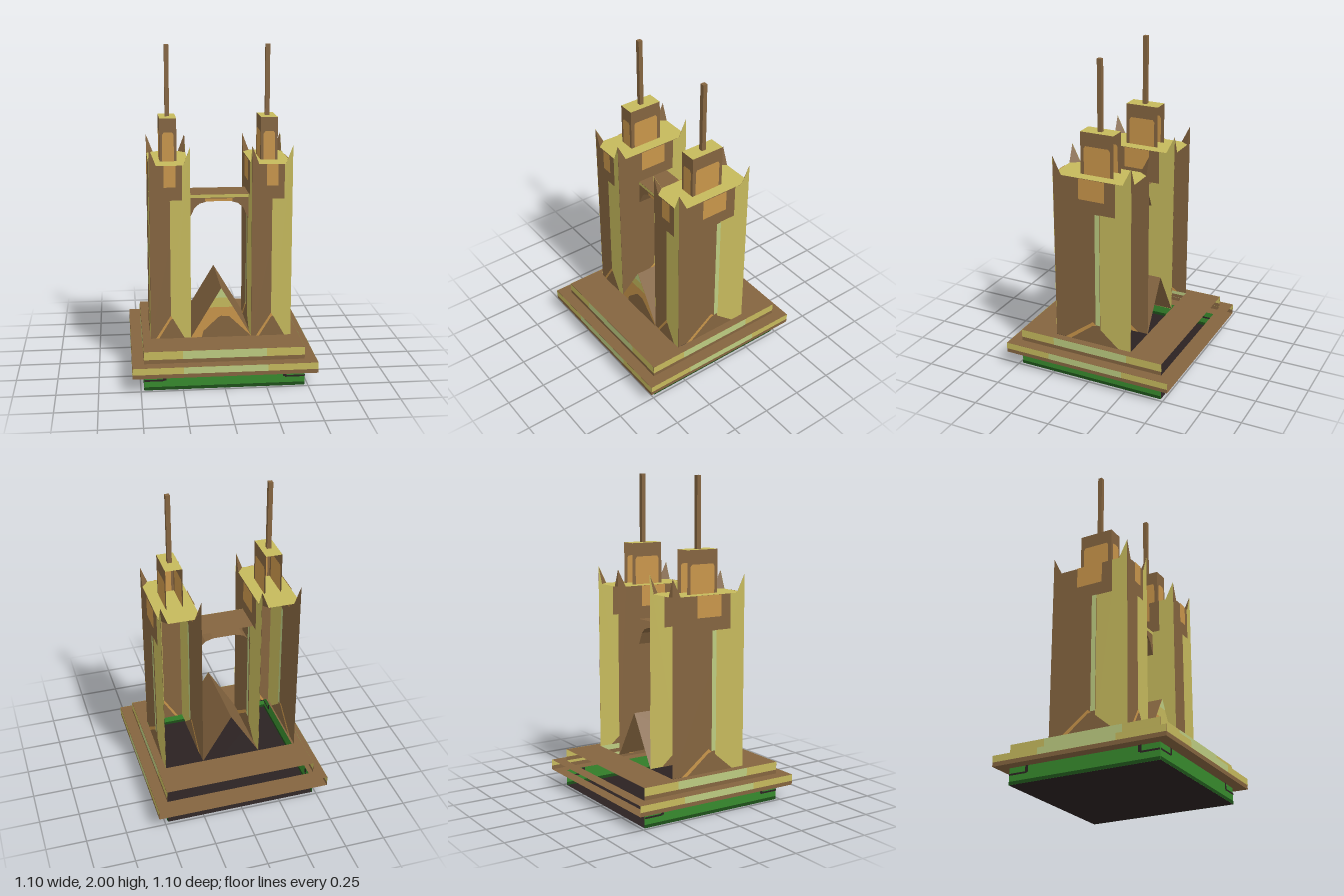
import * as THREE from 'three';

const mat = (name, color) => new THREE.MeshStandardMaterial({ name, color, side: THREE.DoubleSide });
const brown = mat('brown', 0x84643f), yellow = mat('yellow', 0xc5b95c), orange = mat('orange', 0xc8954a);
const paleGreen = mat('paleGreen', 0xbccb80), green = mat('green', 0x378a2d);
const darkGreen = mat('darkGreen', 0x1c4f18), black = mat('black', 0x2b2222);

const rect = (x0, y0, x1, y1) => [[x0, y0], [x1, y0], [x1, y1], [x0, y1]];
const shapeOf = (pts) => new THREE.Shape(pts.map(([x, y]) => new THREE.Vector2(x, y)));

function add(parent, name, geo, material) {
  const m = new THREE.Mesh(geo, material);
  m.name = name;
  parent.add(m);
  return m;
}

// Upright wall at distance d; layers after the first are painted on both of its sides
function wall(parent, name, angle, d, layers) {
  const g = new THREE.Group();
  g.name = name;
  g.rotation.y = angle;
  layers.forEach(([material, pts], i) => {
    const geo = new THREE.ShapeGeometry(shapeOf(pts));
    for (const s of i ? [1, -1] : [0]) {
      add(g, name + (i ? 'Paint' : 'Face'), geo, material).position.z = d + s * 0.0012 * i;
    }
  });
  parent.add(g);
}

// Level plate, with an optional rectangular opening
function plate(parent, name, material, y, pts, hole) {
  const shape = shapeOf(pts);
  if (hole) shape.holes.push(shapeOf(hole));
  const geo = new THREE.ShapeGeometry(shape);
  geo.rotateX(-Math.PI / 2);
  add(parent, name, geo, material).position.y = y;
}

// Free polygon face as a triangle fan
function face(parent, name, material, pts) {
  const geo = new THREE.BufferGeometry();
  const v = [];
  for (let i = 1; i < pts.length - 1; i++) v.push(...pts[0], ...pts[i], ...pts[i + 1]);
  geo.setAttribute('position', new THREE.Float32BufferAttribute(v, 3));
  geo.computeVertexNormals();
  add(parent, name, geo, material);
}

// The shells are open at the back
const SIDES = [['front', 0], ['left', Math.PI / 2], ['right', -Math.PI / 2]];

function createBase() {
  const g = new THREE.Group();
  g.name = 'base';
  for (const [side, a] of SIDES) {
    wall(g, side + 'Footing', a, 0.48, [
      [green, rect(-0.48, 0, 0.48, 0.1)],
      [darkGreen, rect(-0.48, 0, 0.48, 0.02)],
      ...[-1, 1].flatMap((s) => [
        [black, rect(s * 0.48, 0.055, s * 0.36, 0.066)],
        [black, rect(s * 0.37, 0.06, s * 0.35, 0.1)],
      ]),
    ]);
    wall(g, side + 'LowerStep', a, 0.55, [
      [brown, rect(-0.55, 0.1, 0.55, 0.165)],
      [yellow, rect(-0.55, 0.125, 0.55, 0.165)],
      [paleGreen, rect(-0.25, 0.125, 0.25, 0.165)],
    ]);
    wall(g, side + 'UpperStep', a, 0.48, [
      [brown, rect(-0.48, 0.165, 0.48, 0.24)],
      [yellow, rect(-0.48, 0.19, 0.48, 0.24)],
      [paleGreen, rect(-0.25, 0.19, 0.25, 0.24)],
    ]);
  }
  const outer = rect(-0.55, -0.55, 0.55, 0.55), inner = rect(-0.48, -0.48, 0.48, 0.48);
  plate(g, 'floor', black, 0, inner);
  plate(g, 'lowerStepUnderside', brown, 0.1, outer, inner);
  plate(g, 'lowerStepTop', brown, 0.165, outer, inner);
  plate(g, 'upperStepTop', brown, 0.24, inner, rect(-0.43, -0.255, 0.43, 0.255));
  return g;
}

function createTower(x) {
  const g = new THREE.Group();
  g.name = 'tower';
  g.position.x = x;
  const W = 0.122, D = 0.255, HX = 0.042, HZ = 0.055, TOP = 1.31, TIP = 1.42;
  for (const [side, a] of SIDES) {
    const isFront = side === 'front';
    const [w, h, d] = isFront ? [W, HX, D] : [D, HZ, W];
    const start = isFront ? 0 : 0.05, p = isFront ? 0.035 : 0.085;
    const layers = [
      [brown, [[-w, 0.24], [w, 0.24], [w, TIP], [w - h, TOP], [h - w, TOP], [-w, TIP]]],
      [yellow, [[start, 0.24], [w, 0.24], [w, TIP], [w - h, TOP], [0.6 * w, TOP], [0.6 * w, 1.1], [start, 1.1]]],
      [orange, [[-0.75 * w, 0.24], [0, 0.24], [0.1 * w, 0.36], [0, 0.385]]],
      [brown, [[-0.6 * w, 0.24], [0.68 * w, 0.24], [0.1 * w, 0.365], [0, 0.36]]],
      [orange, [[-p, 1.18], [p, 1.18], [p, TOP], [-p, TOP]]],
    ];
    if (!isFront) layers.push([paleGreen, rect(0.02, 0.37, 0.05, 1.1)]);
    wall(g, side + 'TowerWall', a, d, layers);

    // Block on the roof
    const cw = isFront ? 0.051 : 0.107, cd = isFront ? 0.107 : 0.051;
    wall(g, side + 'CapWall', a, cd, [
      [brown, rect(-cw, TOP, cw, 1.57)],
      [orange, [[-p, TOP], [p, TOP], [p, 1.47], [p - 0.01, 1.485], [0.01 - p, 1.485], [-p, 1.47]]],
    ]);
  }
  // Roof with cut corners, and a pointed horn at each corner
  plate(g, 'towerRoof', yellow, TOP, [
    [-W + HX, -D], [W - HX, -D], [W, -D + HZ], [W, D - HZ],
    [W - HX, D], [-W + HX, D], [-W, D - HZ], [-W, -D + HZ],
  ]);
  for (const sx of [-1, 1]) for (const sz of [-1, 1]) {
    const pts = [[sx * W, TIP, sz * D], [sx * (W - HX), TOP, sz * D], [sx * W, TOP, sz * (D - HZ)]];
    face(g, 'horn', brown, sx * sz > 0 ? pts.reverse() : pts);
  }
  plate(g, 'capTop', yellow, 1.57, rect(-0.051, -0.107, 0.051, 0.107));
  add(g, 'mast', new THREE.BoxGeometry(0.027, 0.43, 0.027), brown).position.y = 1.785;
  return g;
}

function createBridge() {
  const g = new THREE.Group();
  g.name = 'bridge';
  const w = 0.185, d = 0.105;
  const arch = [[w, 0.94], [0.15, 1.015], [0.12, 1.043], [0.07, 1.058],
    [-0.07, 1.058], [-0.12, 1.043], [-0.15, 1.015], [-w, 0.94]];
  wall(g, 'bridgeFront', 0, d, [
    [brown, [[-w, 1.1], [w, 1.1], ...arch]],
    [yellow, rect(-w, 1.08, w, 1.1)],
    [orange, rect(-0.085, 1.058, 0.085, 1.075)],
  ]);
  plate(g, 'bridgeDeck', brown, 1.1, rect(-w, -d, w, d));
  for (let i = 0; i < arch.length - 1; i++) {
    const [a, b] = [arch[i], arch[i + 1]];
    face(g, 'archUnderside', brown, [[...a, d], [...b, d], [...b, -d], [...a, -d]]);
  }
  return g;
}

function createGable() {
  const g = new THREE.Group();
  g.name = 'gable';
  const w = 0.185, d = 0.255, top = 0.55;
  const edge = (y) => w * (top - y) / (top - 0.24);
  wall(g, 'gableFront', 0, d, [
    [orange, [[-w, 0.24], [w, 0.24], [0, top]]],
    [yellow, [[-edge(0.43), 0.43], [edge(0.43), 0.43], [0, top]]],
    [paleGreen, [[-edge(0.49), 0.49], [edge(0.49), 0.49], [0, top]]],
    [brown, [[-0.12, 0.24], [w, 0.24], [0.05, 0.37], [0, 0.375], [-0.02, 0.365], [-0.11, 0.28]]],
  ]);
  face(g, 'gableSlope', brown, [[0, top, d], [w, 0.24, d], [w, 0.24, -d], [0, top, -d]]);
  face(g, 'gableSlope', brown, [[0, top, -d], [-w, 0.24, -d], [-w, 0.24, d], [0, top, d]]);
  return g;
}

export function createModel() {
  const model = new THREE.Group();
  model.name = 'twinTowerBuilding';
  model.add(createBase(), createTower(-0.307), createTower(0.307), createBridge(), createGable());
  return model;
}
